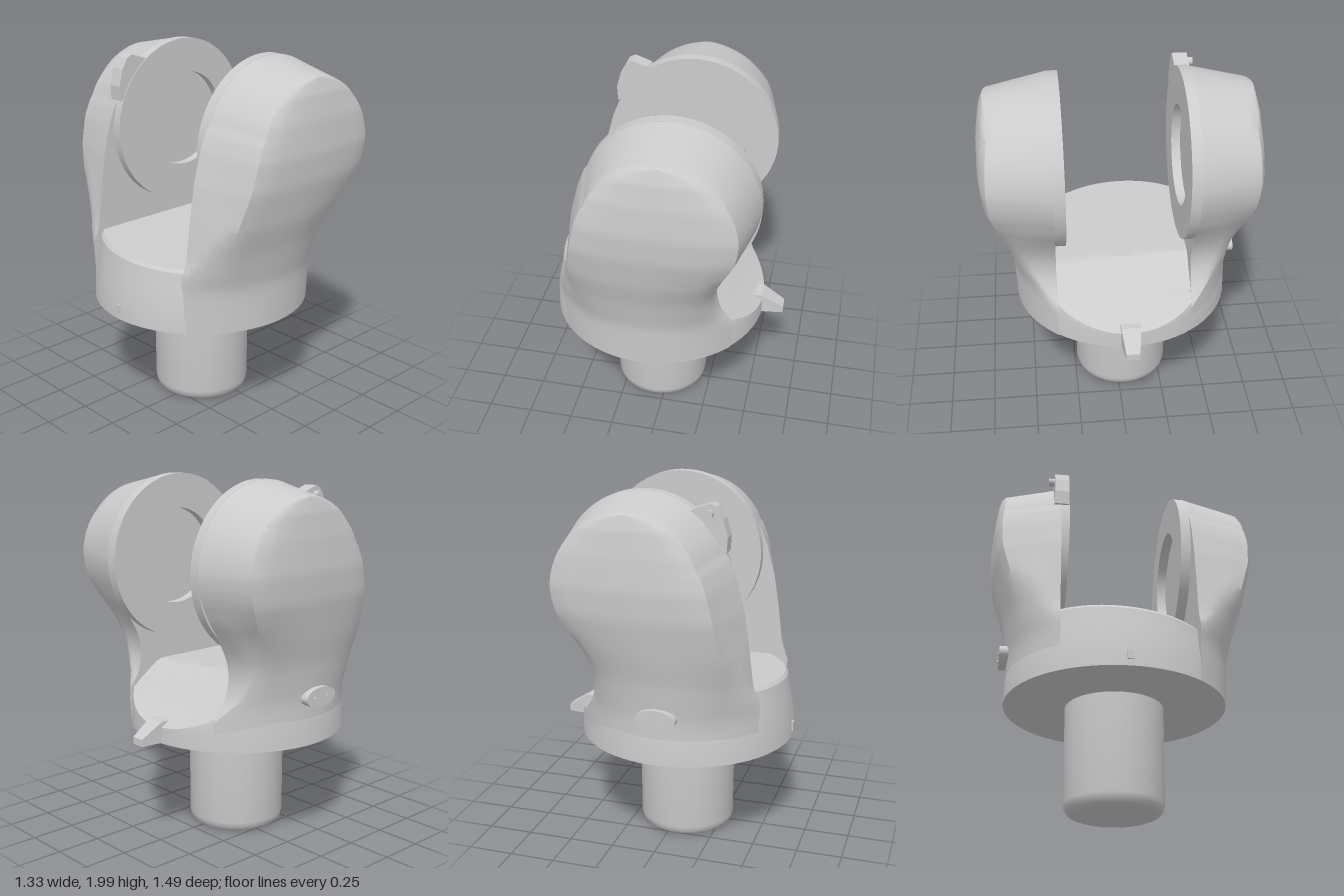
import * as THREE from 'three';
import { toCreasedNormals } from 'three/addons/utils/BufferGeometryUtils.js';

const CX = -0.055, CZ = -0.03;             // axis of stem and base
const PX = 0.08, PY = 1.53, HEAD = 0.462;  // pivot and radius of the arm heads
const material = new THREE.MeshStandardMaterial({ color: 0xcccccc });

// Piecewise-linear lookup in a list of [key, value] pairs
function lookup(table, k) {
  if (k <= table[0][0]) return table[0][1];
  for (let i = 1; i < table.length; i++) {
    const [a, va] = table[i - 1], [b, vb] = table[i];
    if (k <= b) return va + (vb - va) * (k - a) / (b - a);
  }
  return table[table.length - 1][1];
}

// Skin over closed rings of points
function loft(rings, flip, crease) {
  const n = rings[0].length, index = [];
  for (let i = 0; i < rings.length - 1; i++) {
    for (let j = 0; j < n; j++) {
      const a = i * n + j, b = i * n + (j + 1) % n, c = a + n, d = b + n;
      if (flip) index.push(a, c, b, b, c, d);
      else index.push(a, b, c, b, d, c);
    }
  }
  const g = new THREE.BufferGeometry();
  g.setAttribute('position', new THREE.Float32BufferAttribute(rings.flat(2), 3));
  g.setIndex(index);
  return toCreasedNormals(g, crease);
}

function add(parent, name, geometry, x = 0, y = 0, z = 0) {
  const m = new THREE.Mesh(geometry, material);
  m.name = name;
  m.position.set(x, y, z);
  parent.add(m);
  return m;
}

function extrude(points, depth) {
  const shape = new THREE.Shape(points.map(p => new THREE.Vector2(...p)));
  return new THREE.ExtrudeGeometry(shape, { depth, bevelEnabled: false });
}

// Arm silhouette below the round head: left and right edge by height
const leftEdge = [[0.6, -0.6], [0.9, -0.55], [1, -0.51], [1.1, -0.497], [1.2, -0.485], [1.4, -0.455],
  [1.57, -0.41], [1.68, -0.367]];
const rightEdge = [[0.6, 0.54], [0.69, 0.54], [0.74, 0.47], [0.8, 0.405], [0.88, 0.35], [0.97, 0.328],
  [1.05, 0.335], [1.12, 0.36], [1.2, 0.405], [1.3, 0.47], [1.4, 0.515], [1.47, 0.535], [1.53, 0.542]];
const frontDepth = [[0.6, 0.575], [0.85, 0.585], [1.05, 0.635], [1.2, 0.685], [1.4, 0.73], [1.55, 0.743],
  [1.75, 0.735], [1.9, 0.715], [1.99, 0.69]];
const backDepth = [[0.6, 0.625], [0.85, 0.63], [1.05, 0.66], [1.2, 0.695], [1.4, 0.735], [1.55, 0.745],
  [1.75, 0.735], [1.9, 0.72], [1.99, 0.7]];

// Arm: base-circle sections that blend upward into a round head tapering outwards
function armGeometry(side, inner, depthTable) {
  const rings = [], layers = 56, wall = 6, face = 14, count = wall * 2 + face;
  for (let i = 0; i <= layers; i++) {
    const y = 0.6 + (PY + HEAD - 0.6) * Math.sin(i / layers * Math.PI / 2);
    const half = Math.sqrt(Math.max(0, HEAD ** 2 - (y - PY) ** 2));
    const xl = y < 1.68 ? lookup(leftEdge, y) : PX - half;
    const xr = y < PY ? lookup(rightEdge, y) : PX + half;
    const zo = lookup(depthTable, y), rim = zo - 0.05 * Math.min(1, (xr - xl) / 0.7);
    const blend = THREE.MathUtils.smoothstep(y, 0.75, 1.45);
    const radius = zo - side * CZ, chord = Math.asin((inner - side * CZ) / radius);
    const ring = [];
    for (let j = 0; j <= count; j++) {
      // k runs from the inner side (0) to the outer rim (1), f across the domed face
      const k = Math.min(1, j / wall, (count - j) / wall);
      const f = THREE.MathUtils.clamp((j - wall) / face, 0, 1);
      const shrink = 1 - 0.15 * k;
      const x = PX + (xl + (xr - xl) * f - PX) * shrink;
      const z = inner + (rim - inner) * k + (zo - rim) * Math.sqrt(Math.abs(Math.sin(Math.PI * f)));
      const angle = Math.PI - chord - (Math.PI - 2 * chord) * j / count;
      const cx = THREE.MathUtils.clamp(CX + radius * Math.cos(angle), xl, xr);
      const cz = side * CZ + radius * Math.sin(angle);
      ring.push([
        THREE.MathUtils.lerp(cx, x, blend),
        y > PY ? PY + (y - PY) * shrink : y,
        side * THREE.MathUtils.lerp(cz, z, blend)]);
    }
    rings.push(ring);
  }
  return loft(rings, side < 0, 0.7);
}

// Base: round drum whose top is the floor, sloping down towards +x
const floorHeight = [[-0.7, 0.955], [0.2, 0.955], [0.34, 0.85], [0.42, 0.775], [0.54, 0.69]];
function baseGeometry() {
  const steps = [[0, 0], [0.605, 0], [0.6, 0.35], [0.575, 0.7], [0.56, 0.95], [0.545, 1]];
  for (let r = 0.5; r > 0.01; r -= 0.05) steps.push([r, 1]);
  steps.push([0, 1]);
  return loft(steps.map(([r, t]) => {
    const ring = [];
    for (let j = 0; j < 72; j++) {
      const a = j / 72 * Math.PI * 2, s = Math.sin(a);
      // keep the low +x rim at full radius
      const rr = r > 0.52 && s > 0 ? THREE.MathUtils.lerp(r, 0.6, s) : r;
      const x = CX + rr * s, z = CZ + rr * Math.cos(a);
      const tilt = -0.06 * z * THREE.MathUtils.clamp((0.5 - x) / 0.3, 0, 1);
      ring.push([x, 0.6 + (lookup(floorHeight, x) + tilt - 0.6) * t, z]);
    }
    return ring;
  }), false, 0.5);
}

// Round bearing ring with an open recess
function bearingGeometry(depth) {
  const shape = new THREE.Shape().absarc(0, 0, HEAD, 0, Math.PI * 2);
  shape.holes.push(new THREE.Path().absarc(0.02, 0, 0.27, 0, Math.PI * 2, true));
  const g = new THREE.ExtrudeGeometry(shape, { depth, bevelEnabled: false, curveSegments: 48 });
  return toCreasedNormals(g, 0.6);
}

export function createModel() {
  const model = new THREE.Group();
  model.name = 'forkJoint';

  // Stem with a rounded foot
  const stem = [[0, 0], [0.215, 0], [0.245, 0.012], [0.262, 0.03], [0.268, 0.06], [0.27, 0.6]];
  add(model, 'stem', toCreasedNormals(
    new THREE.LatheGeometry(stem.map(p => new THREE.Vector2(...p)), 40), 0.6), CX + 0.003, 0.005, CZ);

  add(model, 'base', baseGeometry());

  // Two arms with their bearing rings
  add(model, 'frontArm', armGeometry(1, 0.355, frontDepth));
  add(model, 'backArm', armGeometry(-1, 0.375, backDepth));
  add(model, 'frontBearing', bearingGeometry(0.06), PX, PY, 0.3);
  add(model, 'backBearing', bearingGeometry(0.055), PX, PY, -0.38);

  // Pointer: tapered wedge on the low rim
  const pointer = extrude([[0.5, 0.605], [0.665, 0.605], [0.665, 0.645], [0.54, 0.722], [0.5, 0.722]], 0.1);
  const p = pointer.attributes.position;
  for (let i = 0; i < p.count; i++) {
    const w = THREE.MathUtils.mapLinear(p.getX(i), 0.5, 0.665, 1.15, 0.75);
    p.setZ(i, CZ + (p.getZ(i) - 0.05) * w);
  }
  pointer.computeVertexNormals();
  add(model, 'pointer', pointer);

  // Oval boss with two small pins on the back
  const boss = new THREE.Group();
  boss.name = 'ovalBoss';
  boss.position.set(CX - 0.01, 0.865, -0.63);
  const oval = add(boss, 'oval', new THREE.CylinderGeometry(0.055, 0.055, 0.08, 32));
  oval.rotation.x = Math.PI / 2;
  oval.scale.x = 2;
  for (const s of [-1, 1]) {
    const pin = add(boss, 'bossPin', new THREE.CylinderGeometry(0.01, 0.01, 0.01, 12), s * 0.05, 0, -0.042);
    pin.rotation.x = Math.PI / 2;
  }
  model.add(boss);

  // Small index nub on the -x side
  add(model, 'indexNub', new THREE.BoxGeometry(0.04, 0.05, 0.035), -0.647, 0.66, CZ);

  // Latch lug on the back arm
  const lug = [[-0.25, 1.72], [-0.365, 1.7], [-0.37, 1.78], [-0.345, 1.87], [-0.31, 1.93], [-0.28, 1.945],
    [-0.19, 1.915], [-0.16, 1.88]];
  add(model, 'latchLug', extrude(lug, 0.08), 0, 0, -0.41);
  const pin = add(model, 'latchPin', new THREE.CylinderGeometry(0.022, 0.022, 0.11, 16), -0.275, 1.895, -0.387);
  pin.rotation.x = Math.PI / 2;

  return model;
}
